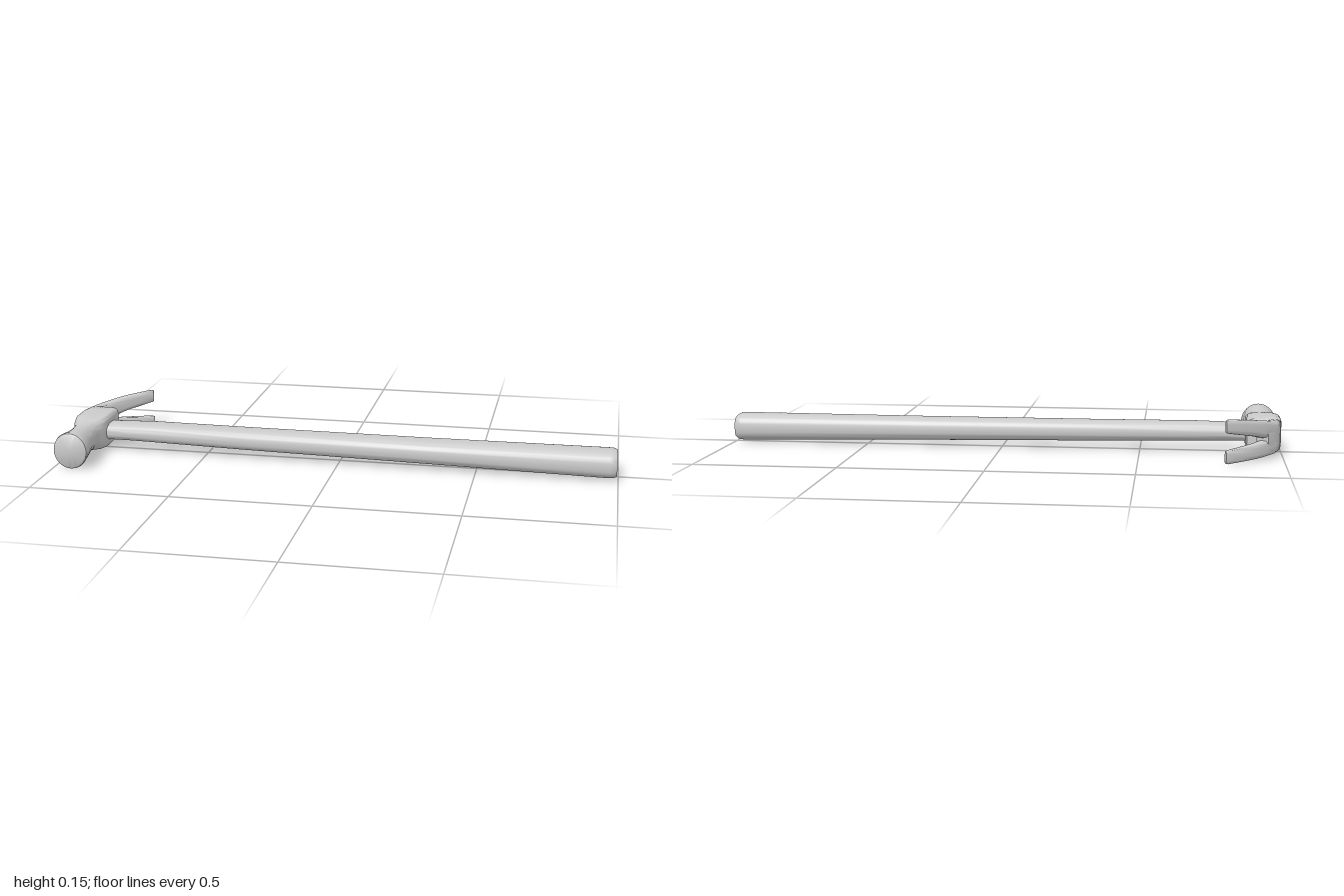
import * as THREE from 'three';
import { toCreasedNormals } from 'three/addons/utils/BufferGeometryUtils.js';

const material = new THREE.MeshStandardMaterial({ color: 0xcccccc });

// One rounded cross-section: centre p, half-axes u and v, squareness n (2 = ellipse)
const section = (p, u, v, n) => ({
  p: new THREE.Vector3(...p), u: new THREE.Vector3(...u), v: new THREE.Vector3(...v), n,
});

// Skin a row of cross-sections and cap both ends (u x v points along the row)
function loft(name, sections, sides = 32, crease = 0.7) {
  const pos = [], index = [];
  const bend = (c, n) => Math.sign(c) * Math.abs(c) ** (2 / n);
  sections.forEach(({ p, u, v, n }) => {
    for (let j = 0; j < sides; j++) {
      const a = (j / sides) * Math.PI * 2;
      const q = p.clone().addScaledVector(u, bend(Math.cos(a), n)).addScaledVector(v, bend(Math.sin(a), n));
      pos.push(q.x, q.y, q.z);
    }
  });
  const last = sections.length - 1;
  for (let i = 0; i < last; i++) {
    for (let j = 0; j < sides; j++) {
      const k = (j + 1) % sides;
      const a = i * sides + j, b = i * sides + k, c = b + sides, d = a + sides;
      index.push(a, b, c, a, c, d);
    }
  }
  const start = pos.length / 3;
  pos.push(...sections[0].p.toArray(), ...sections[last].p.toArray());
  for (let j = 0; j < sides; j++) {
    const k = (j + 1) % sides;
    index.push(start, k, j, start + 1, last * sides + j, last * sides + k);
  }
  const geometry = new THREE.BufferGeometry();
  geometry.setAttribute('position', new THREE.Float32BufferAttribute(pos, 3));
  geometry.setIndex(index);
  const mesh = new THREE.Mesh(toCreasedNormals(geometry, crease), material);
  mesh.name = name;
  return mesh;
}

// Handle stations: x, yMin, yMax, zMin, zMax
function buildHandle() {
  const rows = [
    [-0.92, 0.04, 0.1, -0.045, 0.055],
    [-0.8, 0.04, 0.104, -0.047, 0.058],
    [-0.7, 0.038, 0.106, -0.05, 0.06],
    [-0.35, 0.03, 0.104, -0.05, 0.064],
    [0.3, 0.019, 0.103, -0.05, 0.071],
    [0.97, 0.006, 0.105, -0.053, 0.077],
    [0.985, 0.007, 0.104, -0.051, 0.075],
    [0.995, 0.014, 0.098, -0.044, 0.068],
  ];
  return loft('handle', rows.map(([x, y0, y1, z0, z1]) =>
    section([x, (y0 + y1) / 2, (z0 + z1) / 2], [0, (y1 - y0) / 2, 0], [0, 0, (z1 - z0) / 2], 2.8)));
}

// Head stations from the cheek to the striking face: z, xMin, xMax, yMin, yMax, squareness
function buildHead() {
  const rows = [
    [-0.092, -0.985, -0.885, 0.022, 0.125, 5],
    [-0.085, -0.994, -0.876, 0.015, 0.131, 6],
    [-0.03, -0.998, -0.873, 0.013, 0.134, 7],
    [0.04, -0.998, -0.873, 0.012, 0.133, 7],
    [0.07, -0.994, -0.877, 0.012, 0.132, 5],
    [0.085, -0.989, -0.884, 0.013, 0.13, 3.5],
    [0.105, -0.985, -0.889, 0.017, 0.127, 2.5],
    [0.13, -0.984, -0.889, 0.02, 0.125, 2.2],
    [0.17, -0.986, -0.885, 0.016, 0.125, 2],
    [0.22, -0.99, -0.878, 0.009, 0.129, 2],
    [0.272, -0.996, -0.87, 0.001, 0.135, 2],
    [0.28, -0.994, -0.872, 0.003, 0.133, 2],
    [0.285, -0.987, -0.879, 0.01, 0.126, 2],
  ];
  return loft('head', rows.map(([z, x0, x1, y0, y1, n]) =>
    section([(x0 + x1) / 2, (y0 + y1) / 2, z], [(x1 - x0) / 2, 0, 0], [0, (y1 - y0) / 2, 0], n)), 40);
}

// Claw: outer and inner faces follow two curves in the xz plane
const curve = (points) => new THREE.CatmullRomCurve3(points.map(([x, z]) => new THREE.Vector3(x, 0, z)));
const outer = curve([[-0.995, -0.06], [-0.988, -0.1], [-0.967, -0.138], [-0.905, -0.207], [-0.8, -0.287]]);
const inner = curve([[-0.93, -0.06], [-0.942, -0.095], [-0.922, -0.14], [-0.872, -0.196], [-0.794, -0.266]]);

// Claw section at t along the curves, spanning y0 to y1
function clawSection(t, y0, y1, n, shrink = 1) {
  const a = outer.getPoint(t), b = inner.getPoint(t);
  const mid = a.clone().add(b).multiplyScalar(0.5);
  const half = a.sub(b).multiplyScalar(0.5 * shrink);
  return section([mid.x, (y0 + y1) / 2, mid.z], half.toArray(), [0, (y1 - y0) / 2 * shrink, 0], n);
}

function buildClaw() {
  const claw = new THREE.Group();
  claw.name = 'claw';
  // Solid root before the split
  claw.add(loft('clawRoot', [
    [0, 0.018, 0.129], [0.2, 0.016, 0.13], [0.35, 0.015, 0.131], [0.5, 0.013, 0.133], [0.6, 0.04, 0.103],
  ].map(([t, y0, y1]) => clawSection(t, y0, y1, 4))));
  // Two spreading prongs: t, outer edge and inner edge
  const upper = [[0.4, 0.131, 0.07], [0.5, 0.133, 0.071], [0.62, 0.138, 0.078],
    [0.75, 0.144, 0.088], [0.88, 0.15, 0.098], [0.98, 0.154, 0.106]];
  const lower = [[0.4, 0.014, 0.072], [0.5, 0.013, 0.071], [0.62, 0.01, 0.066],
    [0.75, 0.007, 0.06], [0.88, 0.004, 0.054], [0.98, 0.001, 0.049]];
  for (const [name, rows] of [['upperProng', upper], ['lowerProng', lower]]) {
    const prong = rows.map(([t, e, f]) => clawSection(t, Math.min(e, f), Math.max(e, f), 3.5));
    const [, e, f] = rows[rows.length - 1];
    prong.push(clawSection(1, Math.min(e, f), Math.max(e, f), 3.5, 0.86));
    claw.add(loft(name, prong, 24));
  }
  return claw;
}

export function createModel() {
  const model = new THREE.Group();
  model.name = 'clawHammer';
  model.add(buildHandle(), buildHead(), buildClaw());
  return model;
}
